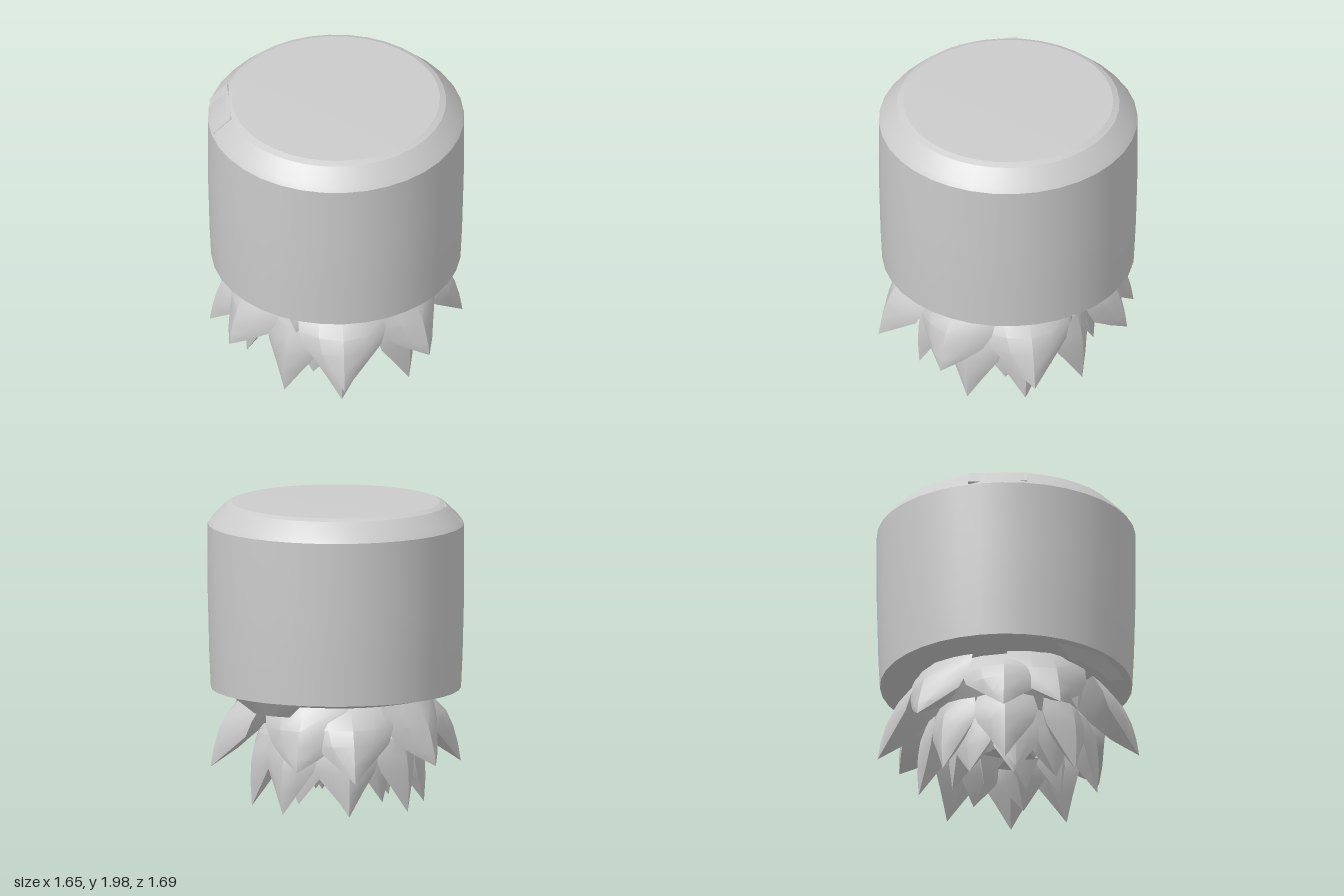
import * as THREE from 'three';
import { toCreasedNormals } from 'three/addons/utils/BufferGeometryUtils.js';

const material = new THREE.MeshStandardMaterial({ color: 0xcccccc });

function addMesh(parent, geometry, name, crease = 0.5) {
  const mesh = new THREE.Mesh(toCreasedNormals(geometry, crease), material);
  mesh.name = name;
  parent.add(mesh);
  return mesh;
}

// Pointed, curved petal lofted downwards.
// Each section: [y, outer radius, half width, side setback, thickness]
function petalGeometry(sections, reach) {
  const positions = [], index = [];
  const n = 6, last = (sections.length - 1) * n;
  for (const [y, r, w, back, t] of sections) {
    const ring = [[0, 0], [0.55 * w, back * 0.35], [w, back], [0, t], [-w, back], [-0.55 * w, back * 0.35]];
    for (const [x, inset] of ring) positions.push(x, y, r + reach - inset);
  }
  for (let i = 0; i < last; i += n) {
    for (let j = 0; j < n; j++) {
      const a = i + j, c = i + (j + 1) % n;
      index.push(a, a + n, c, c, a + n, c + n);
    }
  }
  // Top and bottom caps
  for (let j = 1; j < n - 1; j++) {
    index.push(0, j, j + 1, last, last + j + 1, last + j);
  }
  const geometry = new THREE.BufferGeometry();
  geometry.setAttribute('position', new THREE.Float32BufferAttribute(positions, 3));
  geometry.setIndex(index);
  return geometry;
}

// Petals of one kind, each placed by [angle in degrees, extra reach]
function addTier(parent, name, sections, places) {
  const tier = new THREE.Group();
  tier.name = name;
  for (const [degrees, reach = 0] of places) {
    const petal = addMesh(tier, petalGeometry(sections, reach), 'petal');
    petal.rotation.y = THREE.MathUtils.degToRad(degrees);
  }
  parent.add(tier);
}

export function createModel() {
  const model = new THREE.Group();
  model.name = 'drumWithPetals';

  // Drum with flat bevel at the top and an almost flat underside
  const profile = [
    [0, 0.74], [0.6, 0.74], [0.805, 0.785], [0.815, 1.0], [0.825, 1.4],
    [0.825, 1.85], [0.8, 1.885], [0.71, 1.975], [0.67, 1.992], [0, 2],
  ].map(([x, y]) => new THREE.Vector2(x, y));
  const drum = addMesh(model, new THREE.LatheGeometry(profile, 36), 'drum', 0.3);
  drum.scale.z = 1.01;
  drum.position.z = -0.012;

  // Thin plate lying on the bevel
  const plate = addMesh(model, new THREE.BoxGeometry(0.16, 0.03, 0.38), 'bevelPlate');
  plate.position.set(-0.735, 1.915, -0.04);
  plate.rotation.z = Math.PI / 4;

  // Core that the petals grow from
  const core = addMesh(model, new THREE.CylinderGeometry(0.48, 0.17, 0.5, 12), 'petalCore');
  core.position.y = 0.52;

  // Large outer petals on the four sides
  addTier(model, 'outerPetals', [
    [0.78, 0.57, 0.25, 0.07, 0.22],
    [0.72, 0.63, 0.28, 0.09, 0.27],
    [0.61, 0.735, 0.28, 0.13, 0.30],
    [0.51, 0.78, 0.25, 0.14, 0.26],
    [0.40, 0.81, 0.13, 0.08, 0.16],
    [0.28, 0.83, 0, 0, 0],
  ], [[0, 0.015], [90, -0.015], [180, 0.01], [270, -0.015]]);

  // Slightly shorter petals between them, pushed aside at the two gaps
  addTier(model, 'diagonalPetals', [
    [0.78, 0.62, 0.26, 0.07, 0.22],
    [0.70, 0.68, 0.28, 0.10, 0.27],
    [0.60, 0.74, 0.27, 0.13, 0.28],
    [0.50, 0.77, 0.22, 0.13, 0.24],
    [0.42, 0.79, 0.12, 0.07, 0.15],
    [0.34, 0.80, 0, 0, 0],
  ], [[45], [153], [225], [297]]);

  // Blunt wedges under the rim at the gaps
  addTier(model, 'rearGapWedge', [
    [0.79, 0.80, 0.28, 0.06, 0.40],
    [0.685, 0.72, 0.14, 0.03, 0.26],
  ], [[135]]);
  addTier(model, 'frontGapWedge', [
    [0.79, 0.79, 0.40, 0.12, 0.40],
    [0.72, 0.69, 0.20, 0.04, 0.26],
  ], [[325]]);

  // Small recessed petals in the gaps
  addTier(model, 'gapPetals', [
    [0.72, 0.52, 0.12, 0.04, 0.18],
    [0.62, 0.55, 0.11, 0.05, 0.16],
    [0.48, 0.54, 0, 0, 0],
  ], [[127], [328]]);

  // Middle petals
  addTier(model, 'middlePetals', [
    [0.50, 0.53, 0.18, 0.07, 0.24],
    [0.40, 0.565, 0.21, 0.09, 0.24],
    [0.30, 0.58, 0.18, 0.09, 0.20],
    [0.18, 0.585, 0.10, 0.06, 0.13],
    [0.02, 0.575, 0, 0, 0],
  ], [[0], [51], [90, -0.03], [135], [180], [225], [270], [321]]);

  // Small inner petals
  addTier(model, 'innerPetals', [
    [0.50, 0.33, 0.14, 0.04, 0.20],
    [0.36, 0.37, 0.18, 0.07, 0.22],
    [0.24, 0.38, 0.15, 0.06, 0.17],
    [0.06, 0.36, 0, 0, 0],
  ], [[22], [76], [130], [178], [228], [280], [332]]);

  // Innermost bud
  addTier(model, 'budPetals', [
    [0.45, 0.18, 0.12, 0.04, 0.20],
    [0.28, 0.19, 0.13, 0.04, 0.18],
    [0.10, 0.16, 0, 0, 0],
  ], [[45], [165], [285]]);

  return model;
}
